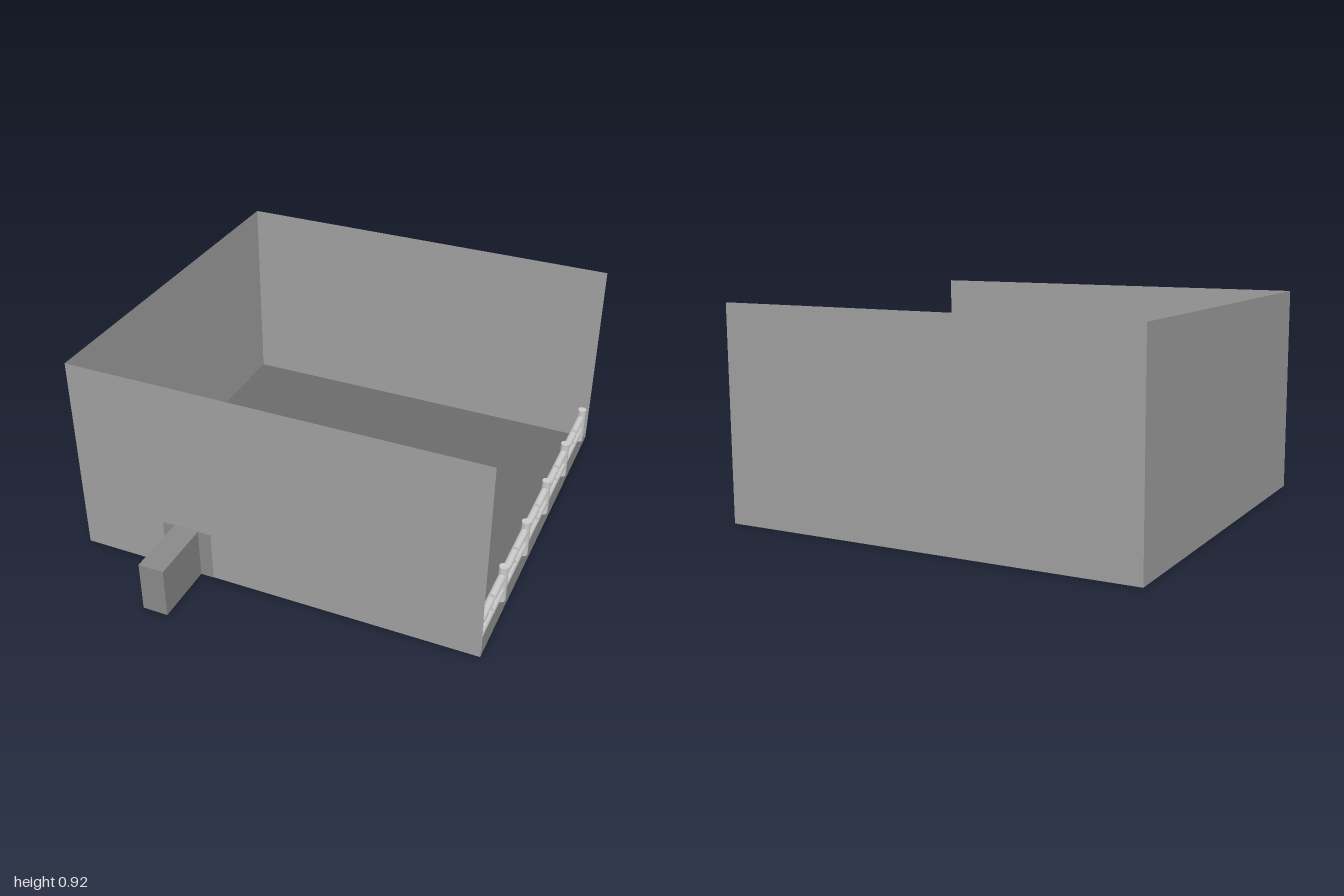
import * as THREE from 'three';

export function createModel() {
  const root = new THREE.Group();
  const paint = (color, side = THREE.FrontSide) => new THREE.MeshStandardMaterial({ color, side });
  const wallPaint = paint(0xa0a0a0, THREE.DoubleSide);
  const floorPaint = paint(0x6c6c6c, THREE.DoubleSide);
  const doorwayPaint = paint(0x898989, THREE.DoubleSide);
  const blockPaint = paint(0x898989);
  const handlePaint = paint(0x333333);
  const fencePaint = paint(0xcccccc);

  const add = (parent, name, geometry, mat, x, y, z) => {
    const mesh = new THREE.Mesh(geometry, mat);
    mesh.name = name;
    mesh.position.set(x, y, z);
    parent.add(mesh);
    return mesh;
  };

  // Enclosure: floor and three thin walls, open on +x and at the top
  const halfX = 0.914, back = -1, front = 0.713, height = 0.917;
  const depth = front - back, midZ = (front + back) / 2;
  const wall = new THREE.PlaneGeometry(halfX * 2, height);
  add(root, 'floor', new THREE.PlaneGeometry(halfX * 2, depth), floorPaint, 0, 0, midZ).rotation.x = -Math.PI / 2;
  add(root, 'frontWall', wall, wallPaint, 0, height / 2, front);
  add(root, 'backWall', wall, wallPaint, 0, height / 2, back).rotation.y = Math.PI;
  add(root, 'sideWall', new THREE.PlaneGeometry(depth, height), wallPaint, -halfX, height / 2, midZ).rotation.y = -Math.PI / 2;

  // Entrance: flat doorway panel, projecting block with a short neck, small handle
  const entrance = new THREE.Group();
  entrance.name = 'entrance';
  root.add(entrance);
  const doorHeight = 0.23, doorX = -0.403, neckEnd = 0.73;
  const section = (from, to) => new THREE.BoxGeometry(0.114, doorHeight, to - from);
  add(entrance, 'doorwayPanel', new THREE.PlaneGeometry(0.23, doorHeight), doorwayPaint, -0.4, doorHeight / 2, front + 0.002);
  add(entrance, 'entranceNeck', section(front, neckEnd), blockPaint, doorX, doorHeight / 2, (front + neckEnd) / 2);
  add(entrance, 'entranceBlock', section(neckEnd, 1), blockPaint, doorX, doorHeight / 2, (neckEnd + 1) / 2);
  add(entrance, 'handle', new THREE.BoxGeometry(0.012, 0.004, 0.004), handlePaint, -0.465, 0.106, 0.745);

  // Fence along the open side: round posts, two rails of two logs per bay
  const fence = new THREE.Group();
  fence.name = 'fence';
  root.add(fence);
  const fenceX = 0.887, spacing = 0.329, firstZ = 0.68;
  const post = new THREE.CylinderGeometry(0.02, 0.02, 0.18, 32);
  const rail = new THREE.CylinderGeometry(0.0175, 0.0175, 0.132, 32);
  const core = new THREE.CylinderGeometry(0.006, 0.006, spacing, 16);

  for (let i = 0; i < 6; i++) {
    const z = firstZ - i * spacing;
    add(fence, 'fencePost', post, fencePaint, fenceX, 0.09, z);
    if (i === 5) break;
    const mid = z - spacing / 2;
    for (const y of [0.065, 0.135]) {
      add(fence, 'railCore', core, fencePaint, fenceX, y, mid).rotation.x = Math.PI / 2;
      for (const side of [-1, 1]) {
        add(fence, 'rail', rail, fencePaint, fenceX, y, mid + side * 0.075).rotation.x = Math.PI / 2;
      }
    }
  }
  return root;
}
